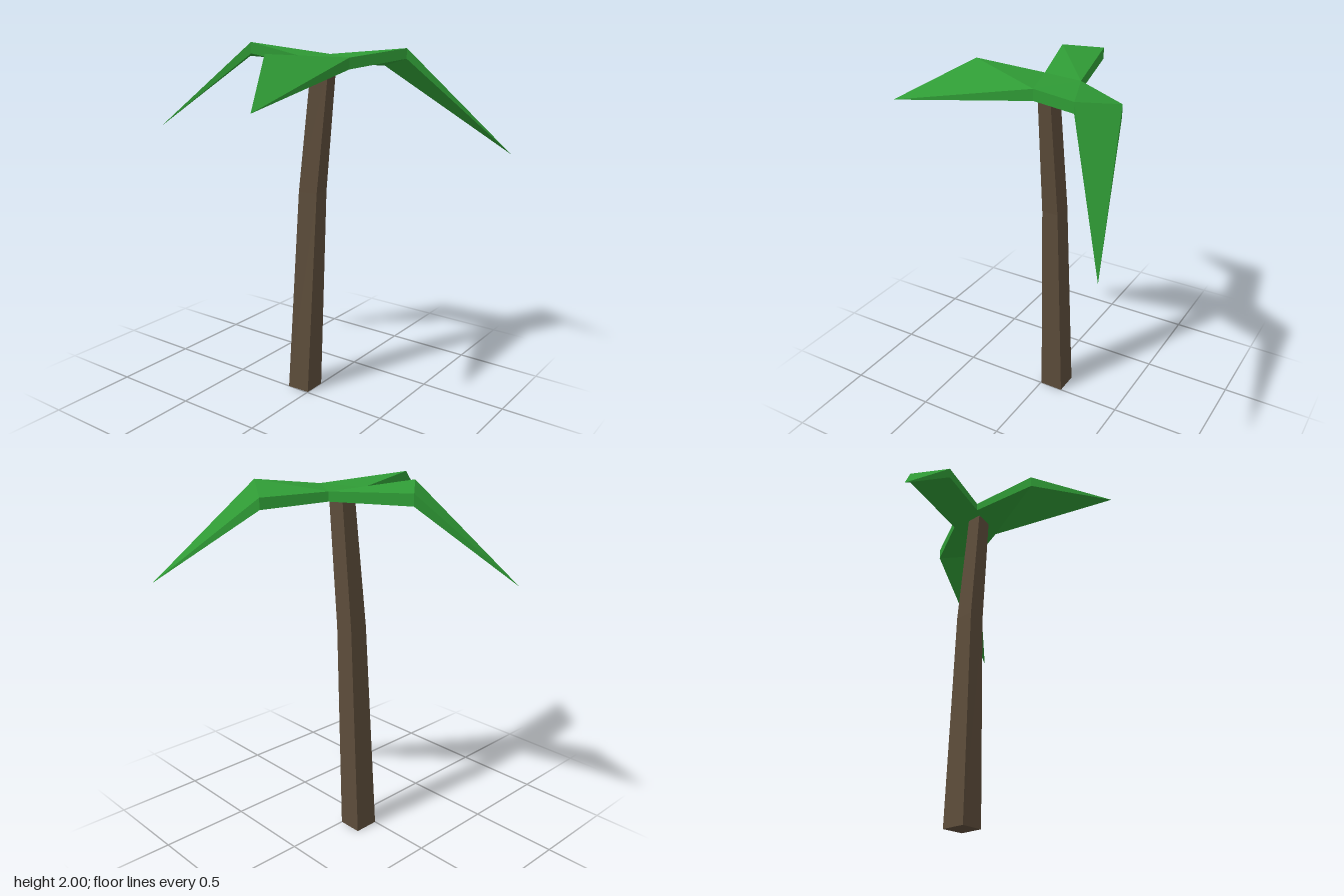
import * as THREE from 'three';

// Flat-shaded mesh from triangles given as corner triples
function facetMesh(name, color, triangles) {
  const geometry = new THREE.BufferGeometry();
  geometry.setAttribute('position', new THREE.Float32BufferAttribute(triangles.flat(2), 3));
  geometry.computeVertexNormals();
  const mesh = new THREE.Mesh(geometry, new THREE.MeshStandardMaterial({ color, flatShading: true }));
  mesh.name = name;
  return mesh;
}

const quad = (a, b, c, d) => [[a, b, c], [a, c, d]];

// Bent, tapering four-sided trunk
function createTrunk() {
  // y, left x, right x, back z, front z at left, front z at right
  const rings = [
    [0, -0.135, 0, -0.14, 0, -0.005],
    [1.2, -0.07, 0.04, -0.125, -0.017, -0.032],
    [1.9, 0.007, 0.107, -0.112, -0.025, -0.042],
  ].map(([y, x0, x1, back, f0, f1]) => [[x0, y, f0], [x1, y, f1], [x1, y, back], [x0, y, back]]);

  const triangles = [];
  for (let r = 0; r < rings.length - 1; r++) {
    for (let i = 0; i < 4; i++) {
      const j = (i + 1) % 4;
      triangles.push(...quad(rings[r][i], rings[r][j], rings[r + 1][j], rings[r + 1][i]));
    }
  }
  triangles.push(...quad(...[...rings[0]].reverse()), ...quad(...rings[2]));
  return facetMesh('trunk', 0x5c4c3a, triangles);
}

// Crown of three folded fronds: one outline, extruded downwards, with sharp tips
function createFronds() {
  // x, y, z, thickness, anticlockwise from above
  const outline = [
    [-0.01, 1.935, -0.22, 0.05],  // 0 hub, back
    [-0.48, 1.97, -0.11, 0.06],   // 1 right frond fold
    [-0.835, 1.525, 0.265, 0],    // 2 right frond tip
    [-0.33, 2, 0.06, 0.06],       // 3 right frond fold
    [-0.04, 1.935, 0, 0.045],     // 4 hub, front
    [0.02, 1.972, 0.37, 0.06],    // 5 front frond fold
    [0.25, 1.75, 0.75, 0],        // 6 front frond tip
    [0.21, 1.935, -0.08, 0.06],   // 7 hub, left
    [0.37, 1.972, -0.385, 0.055], // 8 back frond fold
    [0.835, 1.4, -0.755, 0],      // 9 back frond tip
    [0.155, 1.92, -0.52, 0.06],   // 10 back frond fold
  ];
  const top = outline.map(([x, y, z]) => [x, y, z]);
  const bottom = outline.map(([x, y, z, t]) => [x, y - t, z]);
  const faces = [
    [0, 4, 7],                          // hub
    [0, 1, 3], [0, 3, 4], [1, 2, 3],    // right frond
    [4, 5, 7], [5, 6, 7],               // front frond
    [0, 7, 8], [0, 8, 10], [8, 9, 10],  // back frond
  ];

  const triangles = [];
  for (const [a, b, c] of faces) {
    triangles.push([top[a], top[b], top[c]], [bottom[c], bottom[b], bottom[a]]);
  }
  outline.forEach((point, i) => {
    const j = (i + 1) % outline.length;
    // A tip has no thickness, so the edge beside it is a single triangle
    if (point[3] === 0) triangles.push([bottom[i], bottom[j], top[j]]);
    else if (outline[j][3] === 0) triangles.push([bottom[i], bottom[j], top[i]]);
    else triangles.push(...quad(bottom[i], bottom[j], top[j], top[i]));
  });
  return facetMesh('fronds', 0x2f9a35, triangles);
}

export function createModel() {
  const palm = new THREE.Group();
  palm.name = 'palmTree';
  palm.add(createTrunk(), createFronds());
  return palm;
}
